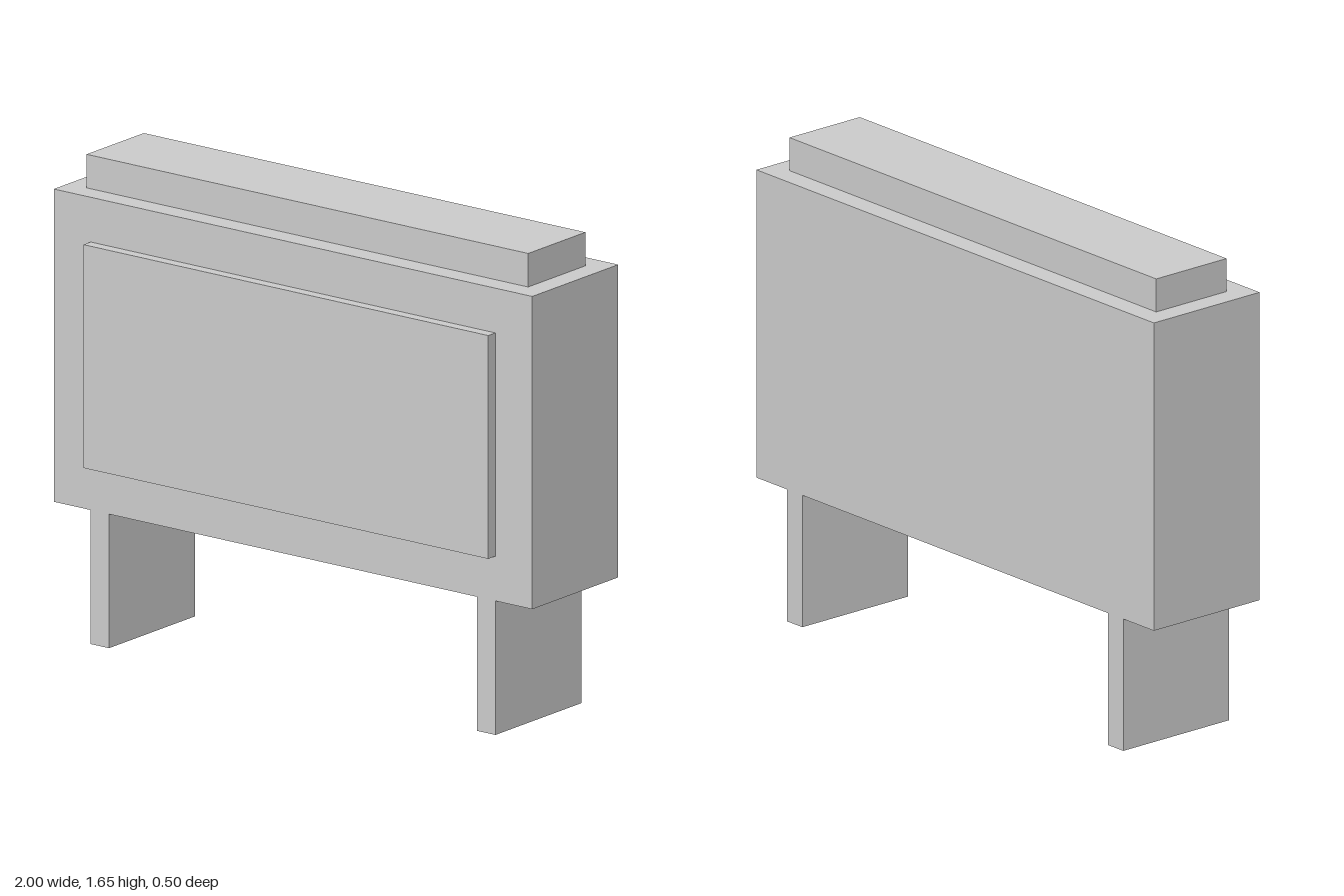
import * as THREE from 'three';

export function createModel() {
  const model = new THREE.Group();
  const material = new THREE.MeshStandardMaterial({ color: 0xcccccc, flatShading: true });

  // Adds a box spanning the given ranges on each axis
  function addBox(name, [x0, x1], [y0, y1], [z0, z1]) {
    const mesh = new THREE.Mesh(new THREE.BoxGeometry(x1 - x0, y1 - y0, z1 - z0), material);
    mesh.position.set((x0 + x1) / 2, (y0 + y1) / 2, (z0 + z1) / 2);
    mesh.name = name;
    model.add(mesh);
  }

  const back = -0.25, front = 0.2115;
  const bottom = 0.4615, top = 1.5385;

  // Main cabinet, raised front panel and stepped cap
  addBox('body', [-1, 1], [bottom, top], [back, front]);
  addBox('frontPanel', [-0.846, 0.846], [0.6155, 1.3845], [front, 0.25]);
  addBox('topCap', [-0.923, 0.923], [top, 1.654], [-0.173, 0.1345]);

  // Full-depth slab legs
  addBox('leftLeg', [0.769, 0.846], [0, bottom], [back, front]);
  addBox('rightLeg', [-0.846, -0.769], [0, bottom], [back, front]);

  return model;
}
